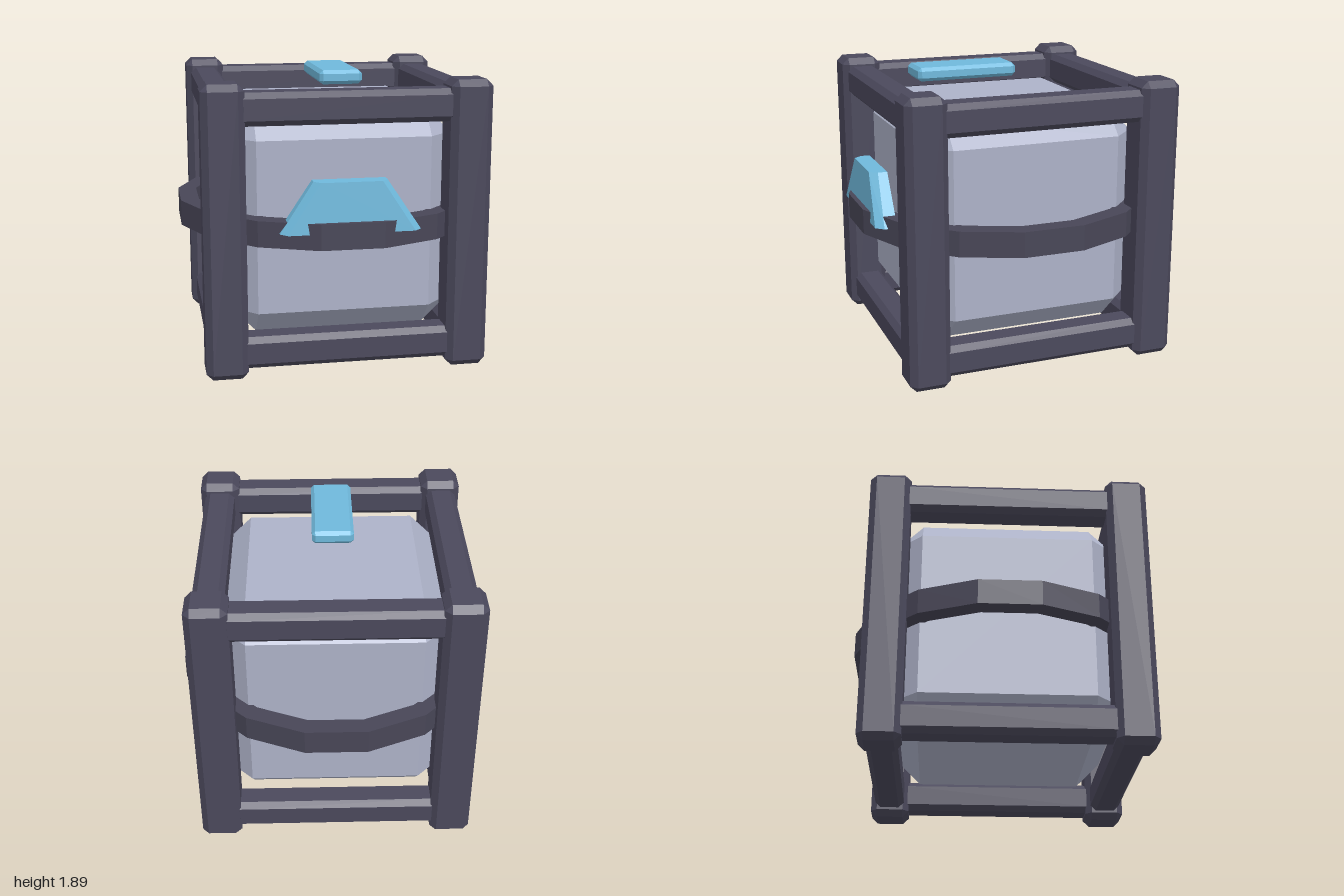
import * as THREE from 'three';
import { ConvexGeometry } from 'three/addons/geometries/ConvexGeometry.js';

const material = (name, color) => {
  const m = new THREE.MeshStandardMaterial({ color });
  m.name = name;
  return m;
};

// Box with every edge cut at 45 degrees
function chamferBox(w, h, d, c) {
  const points = [];
  for (const sx of [-1, 1]) for (const sy of [-1, 1]) for (const sz of [-1, 1]) {
    const x = w / 2, y = h / 2, z = d / 2;
    points.push(
      new THREE.Vector3(sx * x, sy * (y - c), sz * (z - c)),
      new THREE.Vector3(sx * (x - c), sy * y, sz * (z - c)),
      new THREE.Vector3(sx * (x - c), sy * (y - c), sz * z)
    );
  }
  return new ConvexGeometry(points);
}

// Corner points of the sixteen-sided band
function polygon(apothem, sides = 16) {
  const r = apothem / Math.cos(Math.PI / sides);
  return Array.from({ length: sides }, (_, i) => {
    const a = ((i + 0.5) / sides) * Math.PI * 2;
    return new THREE.Vector2(r * Math.cos(a), r * Math.sin(a));
  });
}

export function createModel() {
  const group = new THREE.Group();
  group.name = 'crate';
  const frame = material('dark frame', 0x4b495c);
  const strap = material('dark band', 0x484657);
  const shell = material('pale panel', 0xadb2c8);
  const blue = material('blue trim', 0x6fb9dc);

  const add = (name, geometry, mat, x = 0, y = 0, z = 0) => {
    const mesh = new THREE.Mesh(geometry, mat);
    mesh.name = name;
    mesh.position.set(x, y, z);
    group.add(mesh);
    return mesh;
  };

  // Inner box with wide bevels
  add('innerBox', chamferBox(1.44, 1.44, 1.44, 0.165), shell, 0, 0.925, 0);

  // Corner posts
  const post = chamferBox(0.265, 1.85, 0.265, 0.042);
  for (const x of [-1, 1]) for (const z of [-1, 1])
    add('cornerPost', post, frame, x * 0.7675, 0.925, z * 0.7675);

  // Top and bottom rails on all four sides
  const railX = chamferBox(1.36, 0.205, 0.2, 0.036);
  const railZ = chamferBox(0.2, 0.205, 1.36, 0.036);
  for (const y of [0.16, 1.693]) for (const s of [-1, 1]) {
    add('crossRail', railX, frame, 0, y, s * 0.768);
    add('sideRail', railZ, frame, s * 0.768, y, 0);
  }

  // Band around the middle
  const ring = new THREE.Shape(polygon(1));
  ring.holes.push(new THREE.Path(polygon(0.88).reverse()));
  const band = new THREE.ExtrudeGeometry(ring, { depth: 0.165, bevelEnabled: false });
  band.rotateX(-Math.PI / 2);
  add('middleBand', band, strap, 0, 0.845, 0);

  // Tapered front latch with bevelled sides
  const latch = [];
  for (const s of [-1, 1]) {
    for (const [y, inner, outer, front] of [[0.94, 0.395, 0.44, 0.973], [1.255, 0.19, 0.23, 0.952]]) {
      latch.push(
        new THREE.Vector3(s * inner, y, front),
        new THREE.Vector3(s * outer, y, front - 0.05),
        new THREE.Vector3(s * outer, y, 0.84)
      );
    }
  }
  add('frontLatch', new ConvexGeometry(latch), blue);

  // Bar above the lid
  add('topBar', chamferBox(0.27, 0.088, 0.67, 0.022), blue, 0, 1.846, 0.252);

  return group;
}
